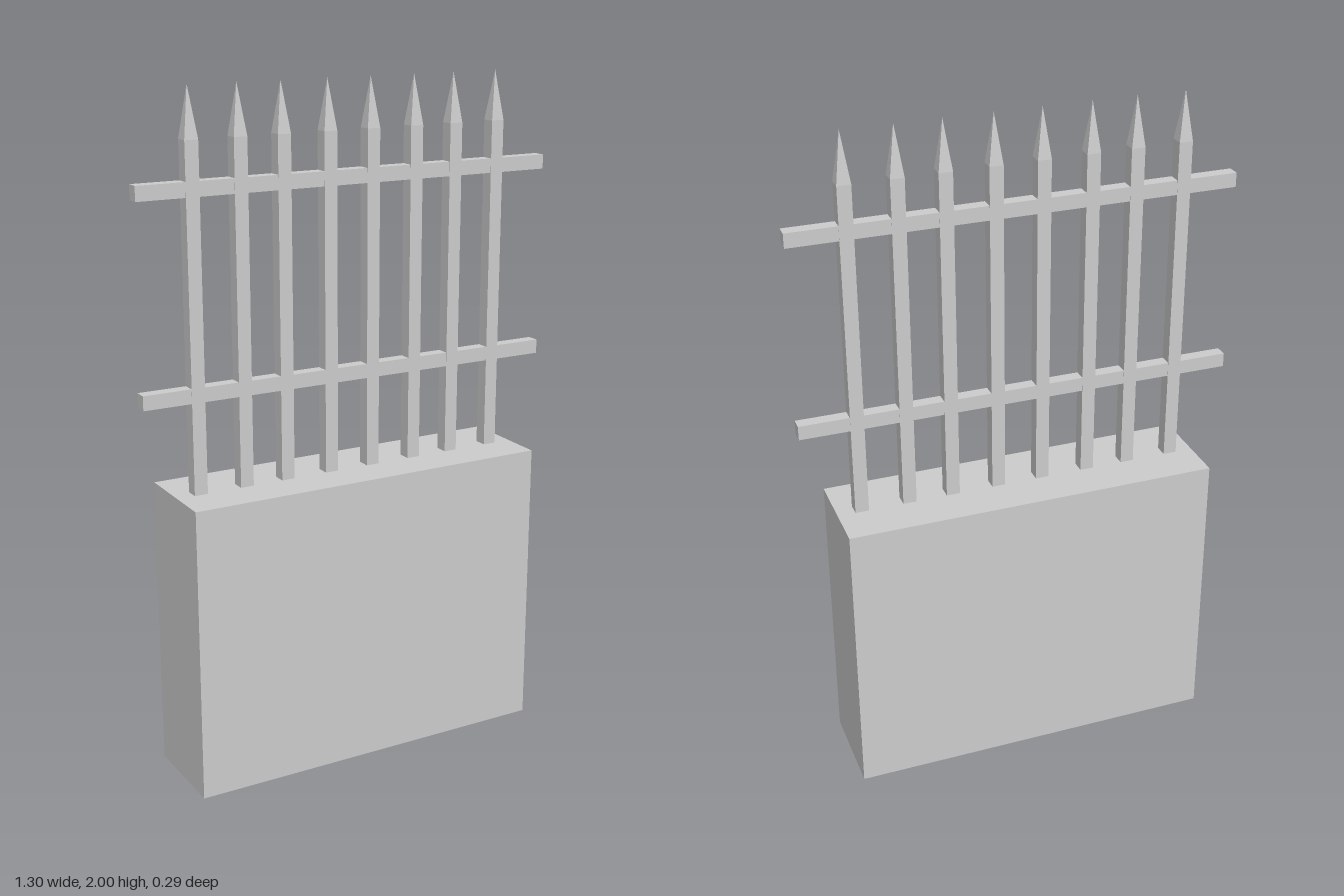
import * as THREE from 'three';

export function createModel() {
  const group = new THREE.Group();
  const material = new THREE.MeshStandardMaterial({ color: 0xcccccc, flatShading: true });

  const add = (name, geometry, x, y, z = 0) => {
    const mesh = new THREE.Mesh(geometry, material);
    mesh.name = name;
    mesh.position.set(x, y, z);
    group.add(mesh);
  };

  // Solid wall that carries the fence
  const wallTop = 0.873;
  add('wall', new THREE.BoxGeometry(1.115, wallTop, 0.288), -0.002, wallTop / 2, -0.002);

  // Two horizontal rails
  const railGeometry = new THREE.BoxGeometry(1.3, 0.042, 0.038);
  add('lowerRail', railGeometry, 0, 1.161);
  add('upperRail', railGeometry, 0, 1.727);

  // Square pickets with pyramid points, slightly unevenly spaced
  const width = 0.04, shoulder = 1.857, tip = 2;
  const postGeometry = new THREE.BoxGeometry(width, shoulder - wallTop, width);
  const pointGeometry = new THREE.ConeGeometry(width * Math.SQRT1_2, tip - shoulder, 4, 1, true)
    .rotateY(Math.PI / 4);
  for (const x of [-0.487, -0.344, -0.213, -0.07, 0.067, 0.208, 0.34, 0.483]) {
    add('picket', postGeometry, x, (wallTop + shoulder) / 2);
    add('picketPoint', pointGeometry, x, (shoulder + tip) / 2);
  }

  return group;
}
